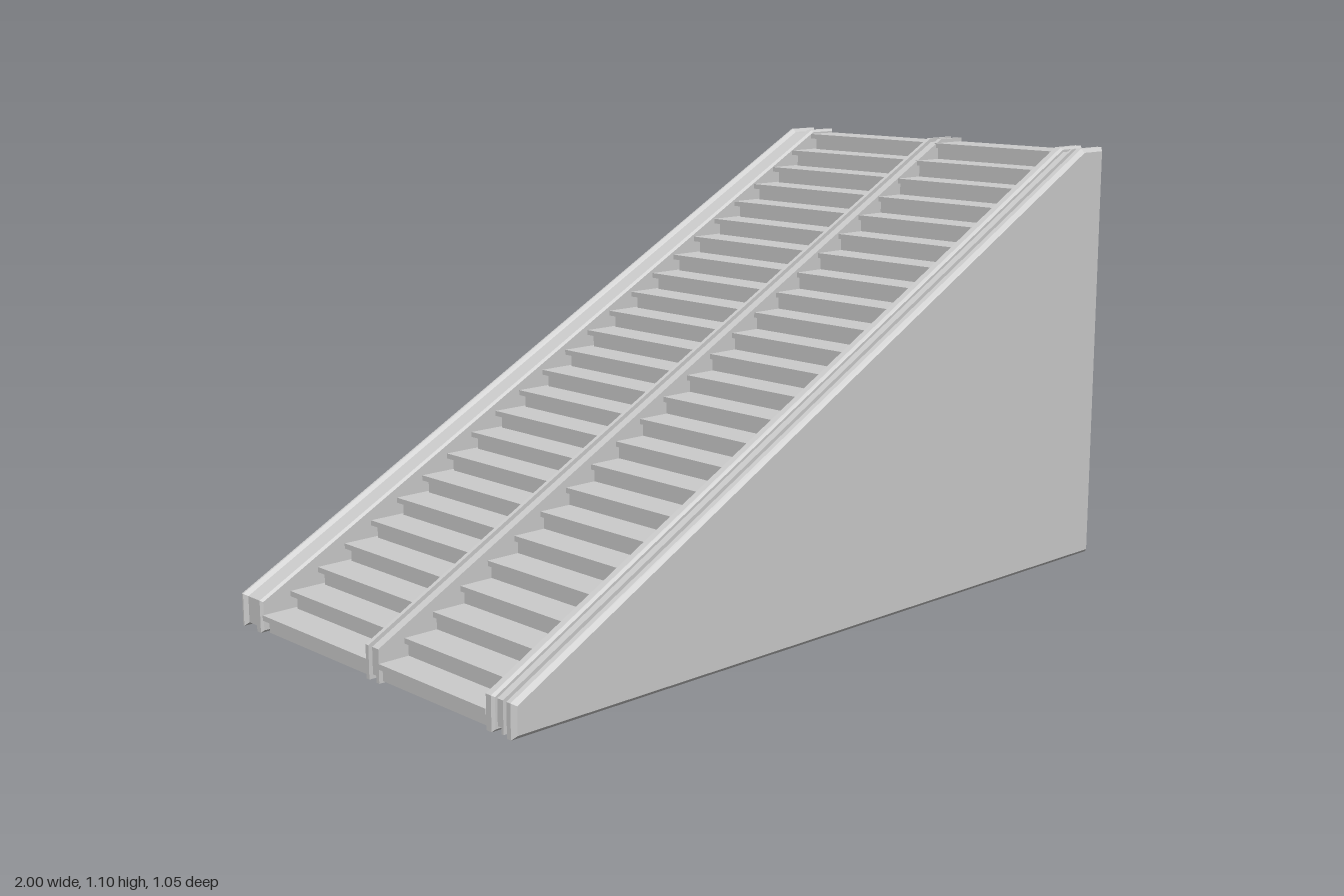
import * as THREE from 'three';

const material = new THREE.MeshStandardMaterial({ color: 0xcccccc, flatShading: true });
const OUTLINE = [[-1, 0], [1, 0], [1, 1.1], [0.91, 1.1], [-1, 0.08]];

// Moves every edge of the convex wall outline inwards by d
function insetOutline(d) {
  const n = OUTLINE.length;
  const lines = OUTLINE.map(([x, y], i) => {
    const [x2, y2] = OUTLINE[(i + 1) % n];
    const len = Math.hypot(x2 - x, y2 - y);
    const nx = -(y2 - y) / len, ny = (x2 - x) / len;
    return { nx, ny, c: nx * x + ny * y + d };
  });
  return lines.map((b, i) => {
    const a = lines[(i + n - 1) % n];
    const det = a.nx * b.ny - a.ny * b.nx;
    return new THREE.Vector2((a.c * b.ny - b.c * a.ny) / det, (a.nx * b.c - b.nx * a.c) / det);
  });
}

// Sloped slab between z0 and z1, with chamfered edges when bevel > 0
function slab(name, z0, z1, inset, bevel = 0) {
  const geometry = new THREE.ExtrudeGeometry(new THREE.Shape(insetOutline(inset + bevel)), {
    depth: z1 - z0 - 2 * bevel, bevelEnabled: bevel > 0,
    bevelSize: bevel, bevelThickness: bevel, bevelSegments: 1,
  });
  geometry.translate(0, 0, z0 + bevel);
  const mesh = new THREE.Mesh(geometry, material);
  mesh.name = name;
  return mesh;
}

// Box given by its limits
function block(name, x0, x1, y0, y1, z0, z1) {
  const mesh = new THREE.Mesh(new THREE.BoxGeometry(x1 - x0, y1 - y0, z1 - z0), material);
  mesh.name = name;
  mesh.position.set((x0 + x1) / 2, (y0 + y1) / 2, (z0 + z1) / 2);
  return mesh;
}

function wall(name, ...parts) {
  const group = new THREE.Group();
  group.name = name;
  group.add(...parts);
  return group;
}

// Open-backed flight of thin treads and risers
function flight(name, z0, z1, shift, gap) {
  const group = new THREE.Group();
  group.name = name;
  const count = 25, going = 0.079, rise = 0.0435;
  for (let i = 0; i < count; i++) {
    const nose = Math.max(-1, -1 + going * i + shift);
    const back = i === count - 1 ? 0.99 : -1 + going * (i + 1) + shift + 0.02;
    const top = 0.046 + rise * i;
    group.add(block('tread', nose, back, top - 0.013, top, z0, z1));
    group.add(block('riser', nose + 0.01, nose + 0.02, Math.max(0.004, top - rise - 0.006), top - 0.01, z0 + gap, z1));
  }
  return group;
}

export function createModel() {
  const model = new THREE.Group();

  // Side walls: chamfered outer panel, recessed core and inner rim
  model.add(wall('frontWall',
    slab('outerPanel', 0.492, 0.525, 0, 0.01),
    slab('core', 0.45, 0.5, 0.012),
    slab('middleRib', 0.481, 0.487, 0.003),
    slab('innerRim', 0.428, 0.457, 0, 0.006)));
  model.add(wall('backWall',
    slab('outerPanel', -0.525, -0.5, 0, 0.01),
    slab('core', -0.51, -0.45, 0.009),
    slab('innerRim', -0.458, -0.43, 0, 0.006)));

  // Centre wall with two narrow rims
  model.add(wall('centreWall',
    slab('core', 0.01, 0.044, 0.01),
    slab('rim', 0.002, 0.013, 0),
    slab('rim', 0.04, 0.051, 0)));

  // Two flights of steps between the walls
  model.add(flight('frontFlight', 0.045, 0.43, -0.008, 0));
  model.add(flight('backFlight', -0.425, 0.01, 0, 0.013));

  // Beam closing the back of the top landing
  model.add(block('landingBeam', 0.975, 0.992, 1.045, 1.09, -0.42, 0.44));
  for (const y of [1.046, 1.081])
    model.add(block('beamTrim', 0.985, 0.997, y - 0.004, y + 0.008, -0.41, 0.44));

  return model;
}
